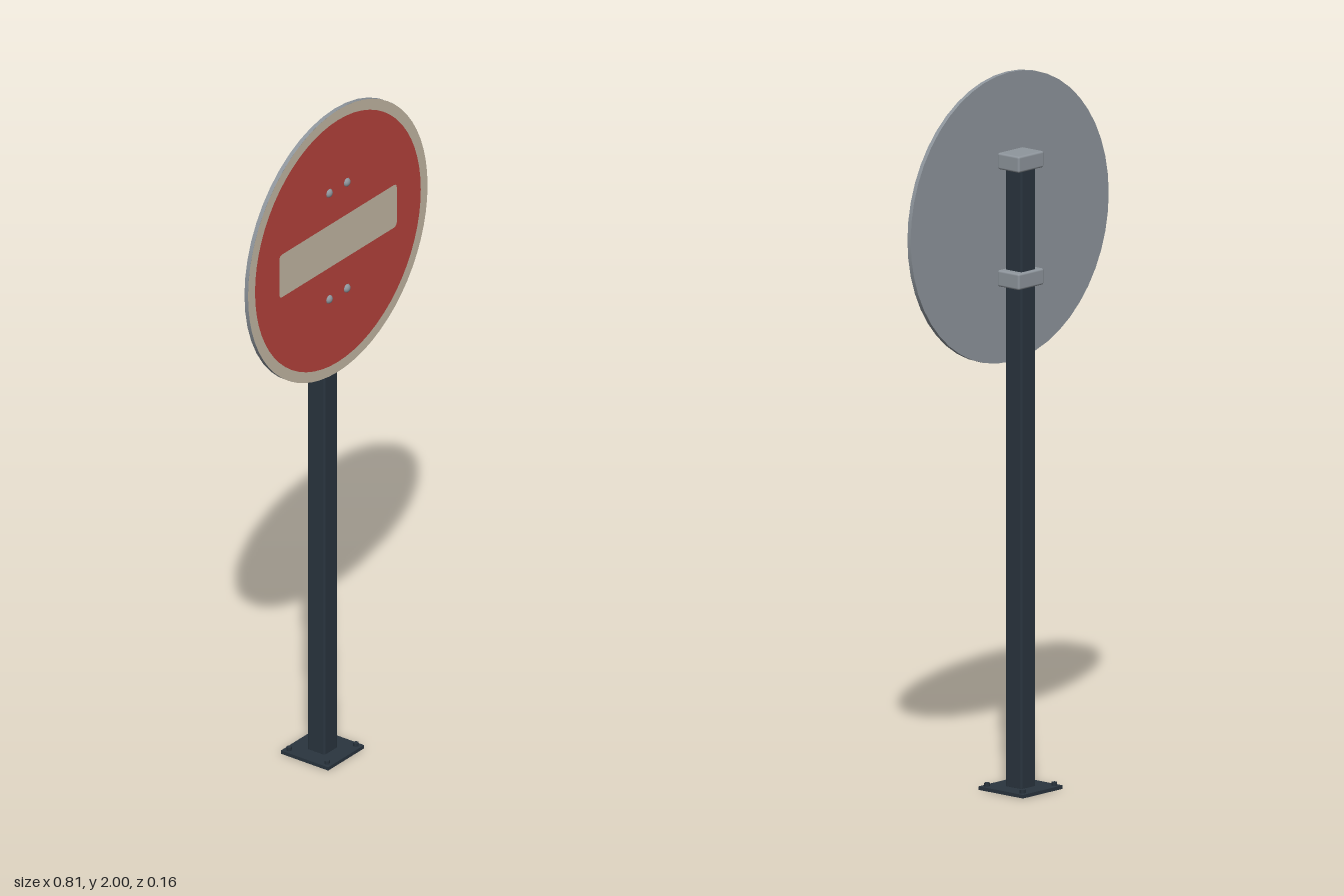
import * as THREE from 'three';
import { RoundedBoxGeometry } from 'three/addons/geometries/RoundedBoxGeometry.js';

const material = (name, color) => Object.assign(new THREE.MeshStandardMaterial({ color }), { name });

export function createModel() {
  const red = material('signRed', 0xb9443d);
  const cream = material('signCream', 0xc6bba7);
  const grey = material('galvanisedGrey', 0x8f969d);
  const dark = material('poleDark', 0x2a353f);

  const model = new THREE.Group();
  model.name = 'roadSign';

  const add = (name, geometry, mat, x, y, z) => {
    const mesh = new THREE.Mesh(geometry, mat);
    mesh.name = name;
    mesh.position.set(x, y, z);
    model.add(mesh);
    return mesh;
  };

  // Post and base plate
  add('basePlate', new THREE.BoxGeometry(0.162, 0.01, 0.162), dark, 0, 0.005, 0);
  add('post', new RoundedBoxGeometry(0.06, 1.76, 0.06, 2, 0.006), dark, 0, 0.885, 0);

  // Anchor bolts at the plate corners
  const bolt = new THREE.CylinderGeometry(0.008, 0.008, 0.01, 6);
  for (const x of [-0.065, 0.065]) {
    for (const z of [-0.065, 0.065]) add('anchorBolt', bolt, dark, x, 0.015, z);
  }

  // Sign disc: grey body with thin painted layers on its front
  const signY = 1.595;
  const disc = new THREE.CylinderGeometry(0.405, 0.405, 0.012, 48);
  disc.rotateX(Math.PI / 2);
  add('signDisc', disc, grey, 0, signY, 0.046);
  add('creamBorder', new THREE.RingGeometry(0.373, 0.405, 64), cream, 0, signY, 0.0525);
  add('redField', new THREE.CircleGeometry(0.374, 64), red, 0, signY, 0.0528);

  // Central bar with slightly rounded corners
  const w = 0.265, h = 0.066, r = 0.014;
  const bar = new THREE.Shape();
  bar.moveTo(-w + r, -h);
  bar.lineTo(w - r, -h);
  bar.quadraticCurveTo(w, -h, w, -h + r);
  bar.lineTo(w, h - r);
  bar.quadraticCurveTo(w, h, w - r, h);
  bar.lineTo(-w + r, h);
  bar.quadraticCurveTo(-w, h, -w, h - r);
  bar.lineTo(-w, -h + r);
  bar.quadraticCurveTo(-w, -h, -w + r, -h);
  add('centreBar', new THREE.ShapeGeometry(bar, 4), cream, 0, signY, 0.0535);

  // Clamps around the post, each with two domed screws through the disc
  const clamp = new RoundedBoxGeometry(0.104, 0.046, 0.08, 2, 0.006);
  const screw = new THREE.SphereGeometry(0.013, 12, 5, 0, Math.PI * 2, 0, Math.PI / 2);
  screw.scale(1, 0.75, 1).rotateX(Math.PI / 2);
  for (const y of [1.76, 1.432]) {
    add('clamp', clamp, grey, 0, y, 0);
    for (const x of [-0.04, 0.04]) add('clampScrew', screw, grey, x, y, 0.052);
  }

  return model;
}
